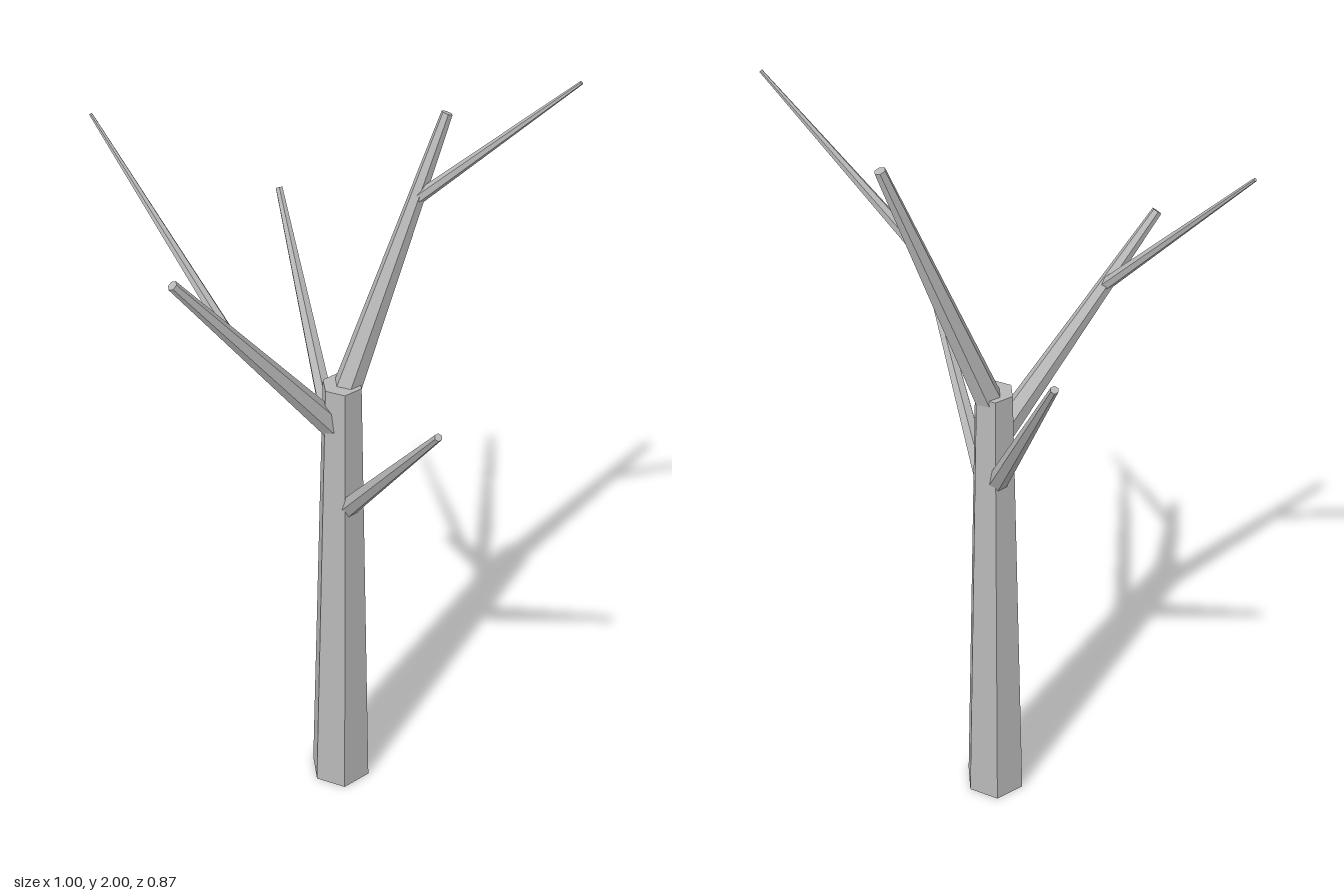
import * as THREE from 'three';

const UP = new THREE.Vector3(0, 1, 0);

// Tapered six-sided limb between two points
function limb(name, from, to, baseRadius, tipRadius, material) {
  const a = new THREE.Vector3(...from);
  const b = new THREE.Vector3(...to);
  const dir = b.clone().sub(a);
  const length = dir.length();
  const geometry = new THREE.CylinderGeometry(tipRadius, baseRadius, length, 6);
  geometry.translate(0, length / 2, 0);
  const mesh = new THREE.Mesh(geometry, material);
  mesh.name = name;
  mesh.position.copy(a);
  mesh.quaternion.setFromUnitVectors(UP, dir.normalize());
  return mesh;
}

export function createModel() {
  const bark = new THREE.MeshStandardMaterial({ color: 0xb8b8b8 });
  bark.name = 'grey bark';
  bark.flatShading = true;

  const limbs = [
    ['trunk', [0.022, 0, 0.002], [0.022, 1.24, 0.002], 0.08, 0.048],
    // Main forks near the top of the trunk
    ['leftFork', [0.022, 1.19, 0], [0.26, 1.855, -0.096], 0.035, 0.013],
    ['rightFork', [0.022, 1.1, 0], [-0.355, 1.615, 0.141], 0.032, 0.012],
    // Lower side branches
    ['backBranch', [0.022, 0.97, 0], [-0.072, 1.522, -0.427], 0.026, 0.009],
    ['frontBranch', [0.022, 0.865, 0], [0.165, 1.38, 0.425], 0.026, 0.009],
    // Thin twigs growing from the forks
    ['leftTwig', [0.192, 1.665, -0.069], [0.497, 1.998, 0.093], 0.015, 0.004],
    ['rightTwig', [-0.238, 1.455, 0.097], [-0.497, 1.855, -0.19], 0.015, 0.004],
  ];

  const tree = new THREE.Group();
  tree.name = 'bareTree';
  for (const [name, from, to, r0, r1] of limbs) tree.add(limb(name, from, to, r0, r1, bark));
  return tree;
}
